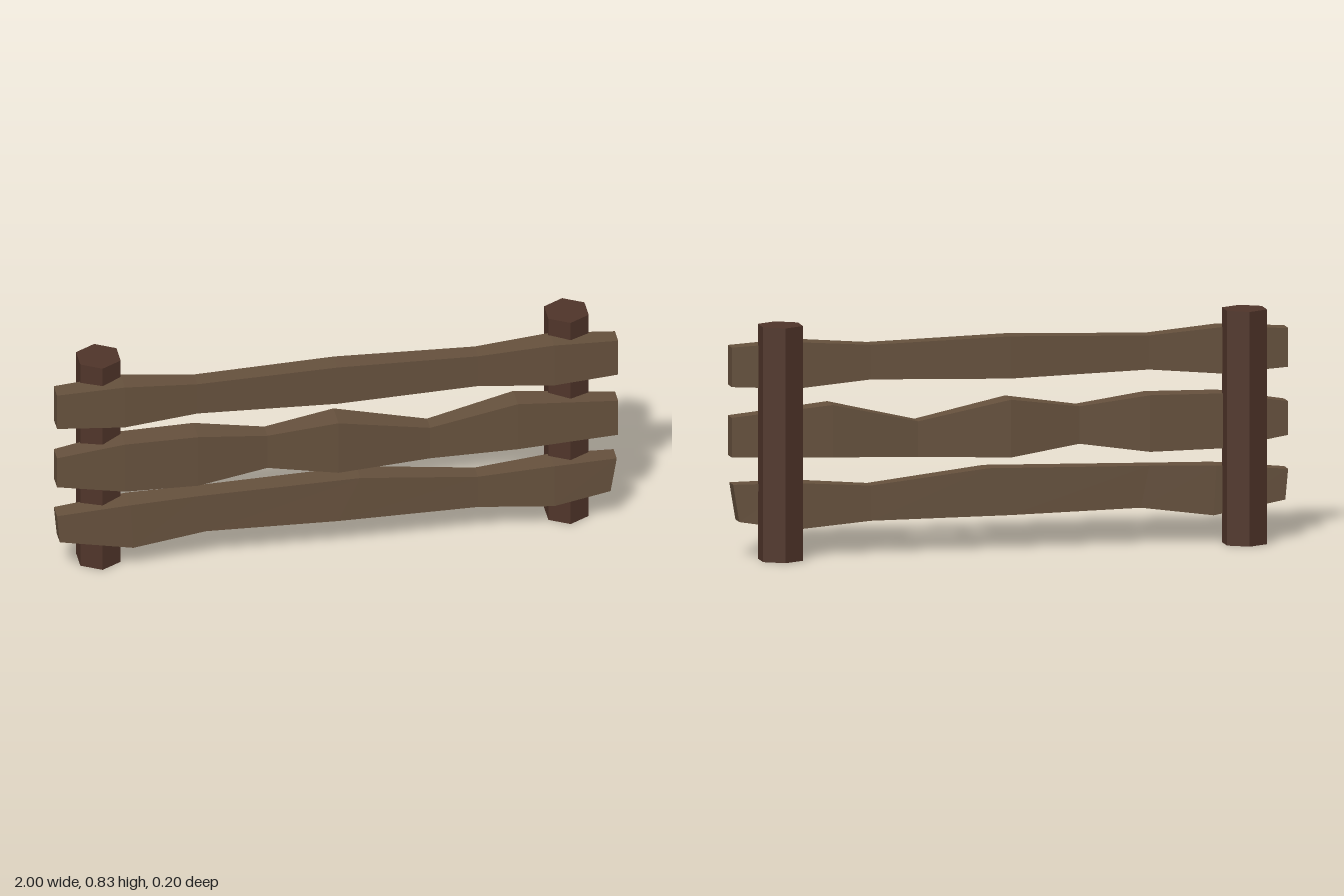
import * as THREE from 'three';

const wood = new THREE.MeshStandardMaterial({ color: 0x66513d, flatShading: true });
const darkWood = new THREE.MeshStandardMaterial({ color: 0x50352a, flatShading: true });

const POST_HEIGHT = 0.833;
const PLANK_Z = 0.05;

// Rough-hewn plank: a segmented box reshaped by sections of
// [x at top, y top, x at bottom, y bottom, half thickness]
function makePlank(name, sections) {
  const n = sections.length - 1;
  const geo = new THREE.BoxGeometry(n, 2, 2, n, 1, 1);
  const p = geo.attributes.position;
  for (let i = 0; i < p.count; i++) {
    const [xt, yt, xb, yb, h] = sections[Math.round(p.getX(i) + n / 2)];
    const top = p.getY(i) > 0;
    p.setXYZ(i, top ? xt : xb, top ? yt : yb, PLANK_Z + p.getZ(i) * h);
  }
  geo.computeVertexNormals();
  const mesh = new THREE.Mesh(geo, wood);
  mesh.name = name;
  return mesh;
}

// Section with its top and bottom at the same x
const cut = (x, top, bottom, half) => [x, top, x, bottom, half];

export function createModel() {
  const fence = new THREE.Group();
  fence.name = 'fence';

  // Hexagonal posts with an edge facing front
  for (const [name, side] of [['leftPost', 1], ['rightPost', -1]]) {
    const post = new THREE.Mesh(new THREE.CylinderGeometry(0.083, 0.083, POST_HEIGHT, 6), darkWood);
    post.name = name;
    post.position.set(side * 0.834, POST_HEIGHT / 2, -0.02);
    fence.add(post);
  }

  // Three uneven rails
  fence.add(makePlank('topPlank', [
    cut(-1, 0.752, 0.614, 0.032),
    cut(-0.76, 0.765, 0.6, 0.043),
    cut(-0.5, 0.743, 0.622, 0.033),
    cut(0, 0.758, 0.608, 0.037),
    cut(0.5, 0.745, 0.622, 0.033),
    cut(0.77, 0.765, 0.6, 0.043),
    cut(1, 0.752, 0.612, 0.032),
  ]));
  fence.add(makePlank('middlePlank', [
    cut(-1, 0.492, 0.372, 0.031),
    cut(-0.76, 0.53, 0.335, 0.045),
    cut(-0.5, 0.533, 0.332, 0.048),
    cut(-0.25, 0.5, 0.367, 0.031),
    cut(0, 0.535, 0.33, 0.05),
    cut(0.33, 0.467, 0.341, 0.031),
    cut(0.64, 0.538, 0.352, 0.045),
    cut(1, 0.503, 0.362, 0.031),
  ]));
  fence.add(makePlank('bottomPlank', [
    [-1, 0.252, -0.99, 0.143, 0.031],
    [-0.74, 0.275, -0.73, 0.098, 0.043],
    [-0.5, 0.281, -0.47, 0.133, 0.036],
    [0.08, 0.293, 0, 0.124, 0.04],
    [0.5, 0.245, 0.5, 0.12, 0.031],
    [0.77, 0.265, 0.77, 0.1, 0.043],
    [0.995, 0.265, 0.973, 0.132, 0.031],
  ]));

  return fence;
}
